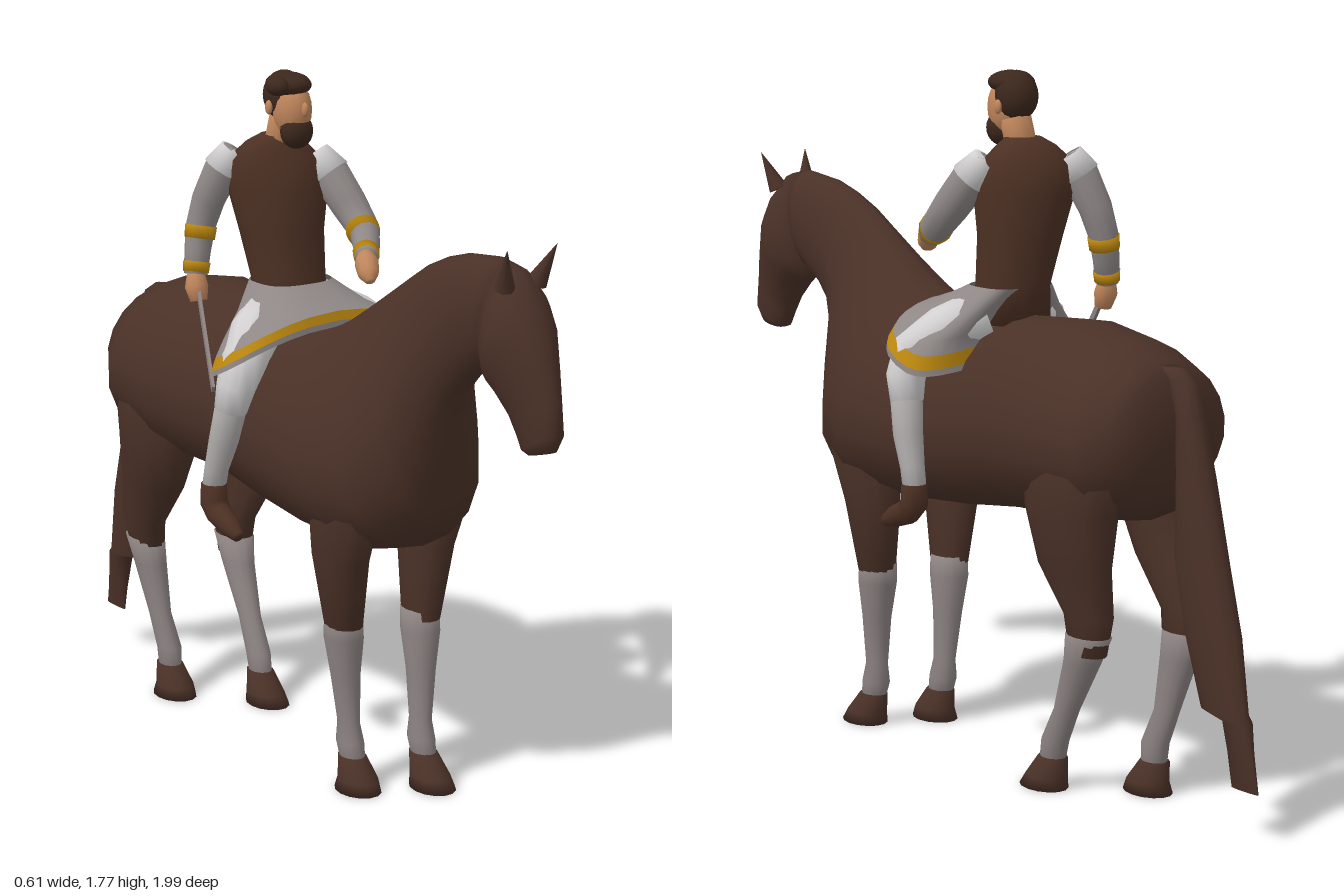
import * as THREE from 'three';

const mat = (name, color, side = THREE.FrontSide) => {
  const m = new THREE.MeshStandardMaterial({ color, side });
  m.name = name;
  return m;
};
const V = (x, y, z) => new THREE.Vector3(x, y, z);

// Smooth skin over rings of points, with optional end caps, always facing outward
function loft(rings, capped = true) {
  const n = rings[0].length, pos = [], idx = [];
  rings.forEach(r => r.forEach(p => pos.push(p.x, p.y, p.z)));
  for (let i = 0; i < rings.length - 1; i++)
    for (let j = 0; j < n; j++) {
      const a = i * n + j, b = i * n + (j + 1) % n;
      idx.push(a, b, a + n, b, b + n, a + n);
    }
  if (capped) [0, rings.length - 1].forEach(i => {
    const c = rings[i].reduce((s, p) => s.add(p), V(0, 0, 0)).divideScalar(n);
    const k = pos.length / 3;
    pos.push(c.x, c.y, c.z);
    for (let j = 0; j < n; j++) {
      const a = i * n + j, b = i * n + (j + 1) % n;
      if (i === 0) idx.push(k, b, a); else idx.push(k, a, b);
    }
  });
  const at = i => V(pos[3 * i], pos[3 * i + 1], pos[3 * i + 2]).sub(rings[0][0]);
  let volume = 0;
  for (let i = 0; i < idx.length; i += 3)
    volume += at(idx[i]).dot(at(idx[i + 1]).cross(at(idx[i + 2])));
  if (volume < 0) idx.reverse();
  const g = new THREE.BufferGeometry();
  g.setAttribute('position', new THREE.Float32BufferAttribute(pos, 3));
  g.setIndex(idx);
  g.computeVertexNormals();
  return g;
}
const ring = (n, f) => Array.from({ length: n }, (_, i) => f(i / n * Math.PI * 2));

// Rings from a top and a bottom point [topZ, topY, bottomZ, bottomY, halfWidth, lowness]
const profile = rows => loft(rows.map(([tz, ty, bz, by, w, e]) => ring(20, a => {
  const c = Math.cos(a);
  return V(w * Math.sin(a) * (1 - e * c),
    (ty + by) / 2 + (ty - by) / 2 * c, (tz + bz) / 2 + (tz - bz) / 2 * c);
})));
// Level ellipses [x, y, z, rx, rz], optionally turned about y
const stack = (rows, yaw = 0) => loft(rows.map(([x, y, z, rx, rz]) => ring(14, a => {
  const p = rx * Math.cos(a), q = rz * Math.sin(a);
  return V(x + p * Math.cos(yaw) + q * Math.sin(yaw), y, z - p * Math.sin(yaw) + q * Math.cos(yaw));
})));
// Round limb along points [x, y, z, r]
const limb = rows => loft(rows.map(([x, y, z, r], i) => {
  const a = rows[Math.max(0, i - 1)], b = rows[Math.min(rows.length - 1, i + 1)];
  const t = V(b[0] - a[0], b[1] - a[1], b[2] - a[2]).normalize();
  const u = V(1, 0, 0).cross(t).normalize(), v = t.clone().cross(u);
  return ring(12, k => V(x, y, z).addScaledVector(u, r * Math.cos(k)).addScaledVector(v, r * Math.sin(k)));
}));

export function createModel() {
  const coat = mat('brown coat', 0x4a3127), hair = mat('dark hair', 0x3c271c);
  const grey = mat('grey cloth', 0x8e8786, THREE.DoubleSide), sock = mat('grey stocking', 0x8c8382);
  const linen = mat('pale linen', 0xd2d0d0), shinCloth = mat('light grey wrap', 0xaeaaaa);
  const gold = mat('gold trim', 0xba860e, THREE.DoubleSide), skin = mat('skin', 0xc0865c);
  const leather = mat('brown leather', 0x4c3023);
  const model = new THREE.Group(), horse = new THREE.Group(), rider = new THREE.Group();
  horse.name = 'horse';
  rider.name = 'rider';
  model.add(horse, rider);
  const add = (parent, name, geo, material) => {
    const m = new THREE.Mesh(geo, material);
    m.name = name;
    parent.add(m);
    return m;
  };

  // Horse trunk and neck
  add(horse, 'bodyAndNeck', profile([
    [-.675, 1.07, -.695, .92, .1, 0], [-.645, 1.12, -.68, .80, .19, .05],
    [-.55, 1.157, -.61, .72, .238, .1], [-.39, 1.183, -.40, .695, .25, .15],
    [-.18, 1.167, -.20, .68, .205, .15], [0, 1.15, 0, .655, .215, .2],
    [.14, 1.155, .20, .64, .232, .22], [.25, 1.21, .38, .635, .235, .28],
    [.33, 1.265, .49, .67, .2, .35], [.42, 1.325, .55, .775, .145, .3],
    [.50, 1.375, .575, .96, .1, .2], [.58, 1.41, .62, 1.07, .078, .1],
    [.66, 1.433, .68, 1.13, .07, 0], [.77, 1.445, .745, 1.18, .07, 0],
    [.83, 1.43, .77, 1.17, .06, 0]]), coat);
  // Horse head
  add(horse, 'horseHead', profile([
    [.80, 1.44, .74, 1.19, .06, 0], [.845, 1.43, .765, 1.15, .078, 0],
    [.885, 1.385, .785, 1.14, .095, 0], [.925, 1.33, .81, 1.12, .085, 0],
    [.965, 1.23, .845, 1.075, .06, 0], [.99, 1.14, .865, 1.03, .043, 0],
    [1.0, 1.065, .88, 1.005, .04, 0], [.98, 1.02, .90, 1.0, .028, 0]]), coat);
  for (const s of [1, -1]) {
    const ear = add(horse, 'ear', new THREE.ConeGeometry(.026, .11, 8), coat);
    ear.position.set(s * .06, 1.44, .87);
    ear.rotation.set(.4, 0, -s * .25);
  }

  // Legs: the left pair steps forward of the right pair
  for (const s of [1, -1]) {
    const d = s > 0 ? 0 : 1;
    const fore = [[.14, .82, .36, .075, .13], [.128, .62, .33 - .01 * d, .06, .09],
      [.1, .43, .35 - .055 * d, .045, .056]];
    const foreSock = [[.1, .455, .345 - .05 * d, .046, .056], [.097, .40, .352 - .06 * d, .049, .056],
      [.09, .30, .365 - .075 * d, .037, .042], [.083, .17, .375 - .08 * d, .026, .034],
      [.082, .12, .38 - .08 * d, .033, .042], [.082, .06, .395 - .08 * d, .028, .036]];
    const foreHoof = [[.082, .085, .39 - .08 * d, .033, .042], [.082, .03, .42 - .085 * d, .048, .06],
      [.082, 0, .43 - .095 * d, .054, .07]];
    const hind = [[.13, .95, -.50, .1, .17], [.145, .75, -.485, .09, .14],
      [.125, .60, -.475 - .075 * d, .065, .115], [.11, .48, -.51 - .11 * d, .048, .075],
      [.102, .38, -.50 - .115 * d, .038, .055]];
    const hindSock = [[.105, .43, -.505 - .12 * d, .046, .07], [.1, .36, -.478 - .13 * d, .041, .054],
      [.092, .22, -.41 - .165 * d, .028, .037], [.086, .13, -.36 - .18 * d, .031, .04],
      [.085, .06, -.345 - .19 * d, .028, .036]];
    const hindHoof = [[.085, .085, -.35 - .19 * d, .033, .042], [.085, .03, -.325 - .19 * d, .048, .06],
      [.085, 0, -.315 - .2 * d, .053, .072]];
    const side = rows => stack(rows.map(([x, ...rest]) => [s * x, ...rest]));
    add(horse, 'upperForeleg', side(fore), coat);
    add(horse, 'foreStocking', side(foreSock), sock);
    add(horse, 'foreHoof', side(foreHoof), coat);
    add(horse, 'upperHindLeg', side(hind), coat);
    add(horse, 'hindStocking', side(hindSock), sock);
    add(horse, 'hindHoof', side(hindHoof), coat);
  }

  // Tail with a stepped, narrow tip
  add(horse, 'tail', stack([
    [0, 1.105, -.68, .02, .035], [0, 1.08, -.715, .03, .04], [0, 1.0, -.745, .035, .036],
    [0, .85, -.768, .042, .055], [-.005, .65, -.787, .045, .085], [-.005, .48, -.828, .045, .09],
    [-.005, .30, -.872, .036, .075], [-.005, .285, -.915, .03, .042], [-.005, .12, -.945, .005, .046]]), coat);

  // Rider's torso, turned toward the reaching arm
  add(rider, 'tunic', stack([
    [0, 1.14, -.08, .1, .09], [0, 1.24, -.09, .095, .085], [-.01, 1.36, -.105, .108, .09],
    [-.015, 1.47, -.115, .128, .092], [-.02, 1.54, -.12, .12, .08],
    [-.02, 1.585, -.115, .075, .06], [-.02, 1.605, -.105, .045, .045]], -.6), leather);
  add(rider, 'neck', limb([[-.02, 1.57, -.1, .04], [-.015, 1.65, -.08, .04]]), skin);

  // Rider's head, hair and beard
  const blob = (name, m, x, y, z, sx, sy, sz) => {
    const b = add(rider, name, new THREE.SphereGeometry(1, 16, 12), m);
    b.position.set(x, y, z);
    b.scale.set(sx, sy, sz);
    return b;
  };
  blob('face', skin, -.015, 1.675, -.05, .046, .075, .058);
  blob('hair', hair, -.016, 1.705, -.082, .053, .064, .058);
  blob('hairTop', hair, -.02, 1.737, -.058, .054, .03, .066);
  blob('hairTuft', hair, -.065, 1.737, -.04, .028, .024, .035);
  blob('beard', hair, -.015, 1.622, -.03, .043, .045, .04);
  blob('nose', skin, -.015, 1.68, .006, .009, .018, .012);
  for (const s of [1, -1]) blob('earOfRider', skin, -.015 + s * .053, 1.68, -.075, .008, .018, .012);

  // Arms: shoulder cap, sleeve, two gold bands, hand
  const arm = (side, sleeve, bands, hand) => {
    add(rider, side + 'ShoulderCap', limb(sleeve.slice(0, 2).map(([x, y, z, r]) => [x, y, z, r + .004])), linen);
    add(rider, side + 'Sleeve', limb(sleeve), grey);
    bands.forEach(b => add(rider, side + 'SleeveBand', limb(b), gold));
    add(rider, side + 'Hand', limb(hand), skin);
  };
  arm('left',
    [[.07, 1.55, -.07, .035], [.092, 1.50, -.035, .05], [.11, 1.43, .02, .047], [.122, 1.37, .07, .04],
      [.085, 1.352, .13, .035], [.035, 1.335, .2, .03]],
    [[[.118, 1.375, .066, .043], [.108, 1.365, .09, .042]], [[.052, 1.341, .175, .034], [.037, 1.336, .197, .032]]],
    [[.04, 1.336, .19, .022], [.018, 1.325, .225, .03], [.005, 1.305, .25, .026], [0, 1.29, .265, .012]]);
  arm('right',
    [[-.1, 1.56, -.18, .035], [-.125, 1.51, -.2, .048], [-.145, 1.43, -.235, .043], [-.158, 1.36, -.252, .038],
      [-.172, 1.30, -.246, .034], [-.185, 1.24, -.236, .03]],
    [[[-.157, 1.36, -.252, .041], [-.164, 1.328, -.249, .039]], [[-.178, 1.27, -.241, .035], [-.184, 1.245, -.237, .033]]],
    [[-.185, 1.245, -.236, .022], [-.19, 1.21, -.225, .03], [-.19, 1.175, -.215, .022]]);

  // Slim blade in the lowered hand
  const blade = add(rider, 'blade', new THREE.BoxGeometry(.008, .02, .33), sock);
  blade.position.set(-.24, 1.11, -.11);
  blade.lookAt(-.295, 1.0, .01);

  // Skirt draped over the thighs, with a gold band above the hem
  const skirtRing = (w, x, zc, rz, y, slope, drop) => ring(32, a => {
    const p = Math.sign(Math.cos(a)) * Math.abs(Math.cos(a)) ** .7;
    const q = Math.sign(Math.sin(a)) * Math.abs(Math.sin(a)) ** .7;
    return V(x + w * p, y + slope * rz * q - drop * p * p, zc + rz * q);
  });
  const folds = [skirtRing(.1, 0, -.08, .085, 1.235, 0, 0), skirtRing(.17, 0, -.03, .1, 1.20, .1, .03),
    skirtRing(.245, 0, .01, .11, 1.165, .25, .05), skirtRing(.268, 0, .016, .114, 1.145, .4, .055),
    skirtRing(.285, 0, .02, .117, 1.115, .45, .055), skirtRing(.287, 0, .02, .118, 1.1, .45, .055)];
  add(rider, 'skirt', loft(folds.slice(0, 4), false), grey);
  add(rider, 'skirtBand', loft(folds.slice(3, 5), false), gold);
  add(rider, 'skirtHem', loft(folds.slice(4), false), grey);

  // Legs and boots
  for (const s of [1, -1]) {
    const side = rows => limb(rows.map(([x, ...rest]) => [s * x, ...rest]));
    add(rider, 'thigh', side([[.07, 1.16, -.06, .07], [.16, 1.12, -.01, .065], [.222, 1.07, .035, .058],
      [.245, 1.01, .035, .05], [.252, .95, .022, .042]]), linen);
    add(rider, 'shin', side([[.252, .96, .024, .041], [.262, .87, .005, .038], [.268, .79, -.02, .031],
      [.27, .73, -.032, .03]]), shinCloth);
    add(rider, 'boot', side([[.27, .75, -.03, .033], [.27, .70, -.03, .035], [.271, .675, -.005, .033],
      [.272, .655, .045, .028], [.273, .637, .085, .015]]), leather);
  }
  return model;
}
